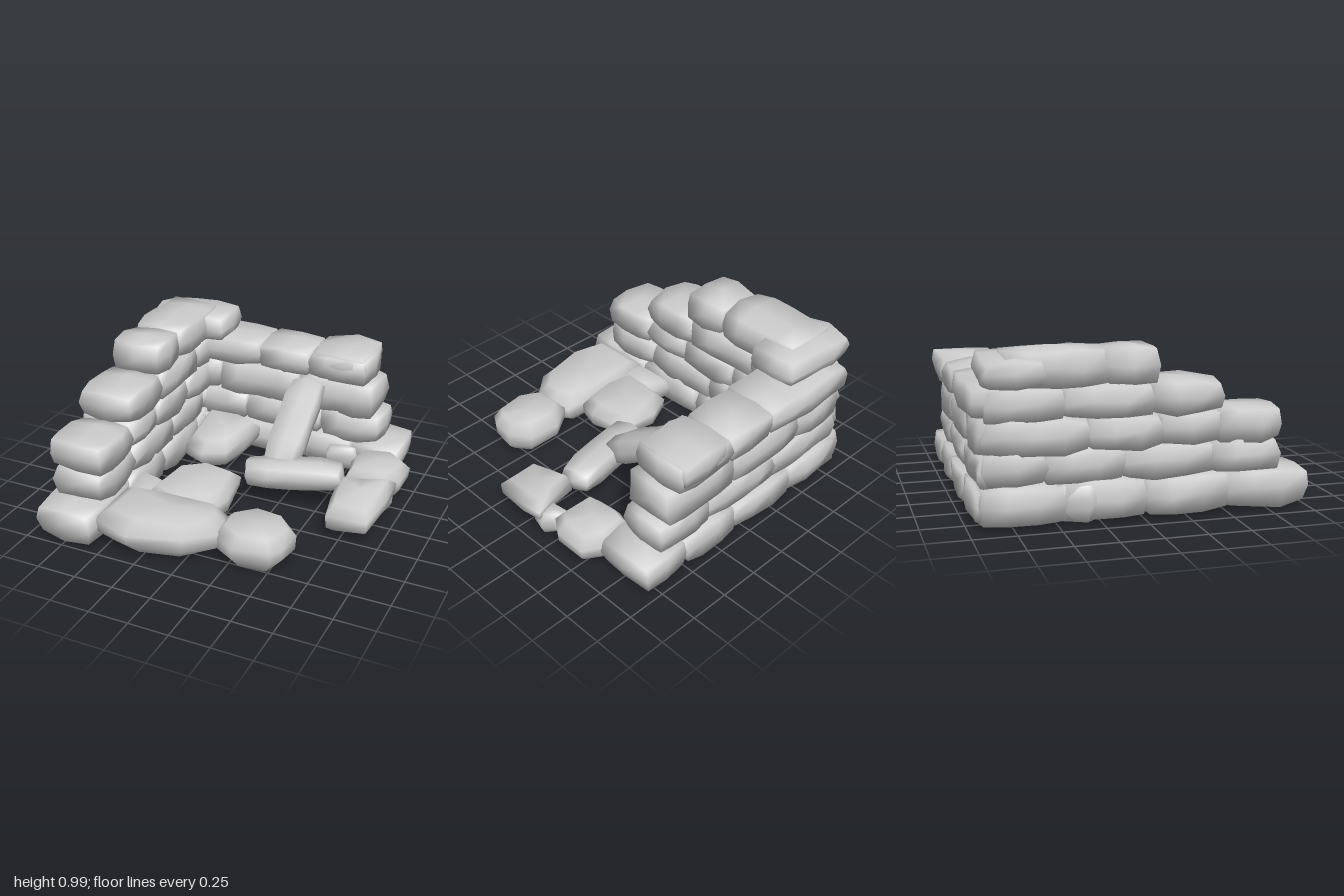
import * as THREE from 'three';
import { mergeVertices } from 'three/addons/utils/BufferGeometryUtils.js';

const material = new THREE.MeshStandardMaterial({ color: 0xcccccc, roughness: 0.9 });

let seed = 7;
function jitter(amount) {
  seed = (seed * 16807) % 2147483647;
  return (seed / 2147483647 - 0.5) * 2 * amount;
}

function addMesh(parent, name, geometry) {
  const mesh = new THREE.Mesh(geometry, material);
  mesh.name = name;
  parent.add(mesh);
  return mesh;
}

// Worn block of a given size, centred on the origin: edges and corners pulled in
function blockGeometry(w, h, d, rough = 0.012) {
  const seg = (s) => Math.min(4, Math.max(2, Math.round(s / 0.16)));
  let geo = new THREE.BoxGeometry(w, h, d, seg(w), seg(h), seg(d));
  geo.deleteAttribute('normal');
  geo.deleteAttribute('uv');
  geo = mergeVertices(geo);
  const p = geo.attributes.position;
  const half = [w / 2, h / 2, d / 2];
  for (let i = 0; i < p.count; i++) {
    const v = [p.getX(i), p.getY(i), p.getZ(i)];
    const outer = v.map((c, k) => Math.abs(c) > half[k] - 1e-4);
    const pull = [0, 0, 0.012, 0.026][outer.filter(Boolean).length];
    p.setXYZ(i, ...v.map((c, k) => c - (outer[k] ? Math.sign(c) * pull : 0) + jitter(rough)));
  }
  geo.computeVertexNormals();
  return geo;
}

// Block from its limits on each axis
function block(parent, name, [x0, x1], [y0, y1], [z0, z1]) {
  const mesh = addMesh(parent, name, blockGeometry(x1 - x0, y1 - y0, z1 - z0));
  mesh.position.set((x0 + x1) / 2, (y0 + y1) / 2, (z0 + z1) / 2);
}

// Squared beam between two points
function beam(parent, name, from, to, width, thickness) {
  const a = new THREE.Vector3(...from), b = new THREE.Vector3(...to);
  const mesh = addMesh(parent, name, blockGeometry(width, thickness, a.distanceTo(b), 0.006));
  mesh.position.copy(a).add(b).multiplyScalar(0.5);
  mesh.lookAt(b);
}

// Boulder from a plan outline of [x, z] points, rounded over at top and bottom
function boulder(parent, name, plan, y0, y1, tiltZ = 0) {
  if (THREE.ShapeUtils.area(plan.map(([x, z]) => new THREE.Vector2(x, z))) < 0) plan = plan.slice().reverse();
  const n = plan.length;
  const cx = plan.reduce((s, q) => s + q[0], 0) / n;
  const cz = plan.reduce((s, q) => s + q[1], 0) / n;
  const rings = [[0, 0], [0, 0.72], [0.3, 0.97], [0.65, 1], [0.96, 0.76], [1, 0]];
  const pos = [], index = [];
  for (const [t, s] of rings) {
    for (const [x, z] of plan) {
      const wob = s > 0 ? jitter(0.012) : 0;
      const px = cx + (x - cx) * s, pz = cz + (z - cz) * s;
      pos.push(px, y0 + (y1 - y0) * t + wob + (pz - cz) * tiltZ, pz);
    }
  }
  for (let r = 0; r < rings.length - 1; r++) {
    for (let i = 0; i < n; i++) {
      const a = r * n + i, b = r * n + (i + 1) % n;
      index.push(a, a + n, b, b, a + n, b + n);
    }
  }
  let geo = new THREE.BufferGeometry();
  geo.setAttribute('position', new THREE.Float32BufferAttribute(pos, 3));
  geo.setIndex(index);
  geo = mergeVertices(geo);
  geo.computeVertexNormals();
  addMesh(parent, name, geo);
}

export function createModel() {
  const model = new THREE.Group();
  model.name = 'ruinedStoneWalls';
  const group = (name) => {
    const g = new THREE.Group();
    g.name = name;
    model.add(g);
    return g;
  };

  // Side wall: courses stepping down towards the front; [y range, x range, z joints]
  const sideWall = group('sideWall');
  const sideCourses = [
    [[0.01, 0.25], [-0.94, -0.55], [-0.95, -0.45, 0.02, 0.5, 1.0]],
    [[0.22, 0.43], [-0.91, -0.55], [-0.92, -0.55, -0.1, 0.42, 0.83]],
    [[0.40, 0.61], [-0.92, -0.54], [-0.92, -0.3, 0.12, 0.45, 0.83]],
    [[0.58, 0.79], [-0.92, -0.54], [-0.92, -0.45, 0.06, 0.47]],
    [[0.76, 0.985], [-0.90, -0.54], [-0.80, -0.2, 0.10]],
  ];
  sideCourses.forEach(([y, x, joints], c) => {
    for (let i = 0; i < joints.length - 1; i++) {
      block(sideWall, `sideStone${c + 1}_${i + 1}`, x, y,
        [joints[i] - (i ? 0.025 : 0), joints[i + 1]]);
    }
  });
  block(sideWall, 'cornerCapStone', [-0.97, -0.42], [0.77, 0.95], [-0.91, -0.56]);

  // Back wall: courses stepping in towards the free end; [y range, z range, x joints]
  const backWall = group('backWall');
  const backCourses = [
    [[0.02, 0.23], [-0.97, -0.58], [-0.88, -0.4, 0.1, 0.52, 0.85]],
    [[0.20, 0.42], [-0.94, -0.60], [-0.87, -0.25, 0.3, 0.71]],
    [[0.39, 0.64], [-0.95, -0.60], [-0.87, -0.45, 0.12, 0.66]],
    [[0.61, 0.805], [-0.99, -0.60], [-0.88, -0.15, 0.2, 0.60]],
  ];
  backCourses.forEach(([y, z, joints], c) => {
    for (let i = 0; i < joints.length - 1; i++) {
      block(backWall, `backStone${c + 1}_${i + 1}`,
        [joints[i] - (i ? 0.025 : 0), joints[i + 1]], y, z);
    }
  });
  block(backWall, 'backCapStone', [0.2, 0.59], [0.64, 0.825], [-1.0, -0.61]);

  // Fallen beams: one leaning on the back wall, one lying across its foot
  const beams = group('fallenBeams');
  beam(beams, 'leaningBeam', [0.21, 0.23, -0.07], [0.21, 0.585, -0.62], 0.24, 0.17);
  beam(beams, 'lyingBeam', [0.02, 0.20, 0.02], [0.64, 0.23, -0.12], 0.22, 0.16);

  // Loose stones on the ground
  const rubble = group('rubble');
  boulder(rubble, 'frontLongStone', [[-0.58, 0.52], [-0.35, 0.49], [-0.1, 0.48], [0.13, 0.51],
    [0.2, 0.62], [0.18, 0.76], [0.02, 0.9], [-0.32, 0.97], [-0.58, 0.9]], 0.02, 0.25);
  boulder(rubble, 'frontEndStone', [[0.14, 0.53], [0.29, 0.43], [0.5, 0.45], [0.6, 0.56],
    [0.58, 0.72], [0.53, 0.8], [0.3, 0.83], [0.15, 0.74]], 0.02, 0.24);
  boulder(rubble, 'innerFrontStone', [[-0.41, 0.14], [-0.22, 0.05], [0.02, 0.08], [0.06, 0.35],
    [0.01, 0.5], [-0.25, 0.56], [-0.45, 0.5]], 0.04, 0.23, -0.08);
  boulder(rubble, 'innerJoiningStone', [[-0.6, 0.22], [-0.42, 0.29], [-0.35, 0.5], [-0.45, 0.62],
    [-0.6, 0.6]], 0.03, 0.19);
  boulder(rubble, 'innerBackStone', [[-0.56, -0.62], [-0.3, -0.64], [-0.14, -0.58], [-0.18, -0.42],
    [-0.23, -0.22], [-0.38, -0.15], [-0.53, -0.21]], 0.04, 0.24, -0.1);
  boulder(rubble, 'wallFootStone', [[0.32, -0.64], [0.6, -0.64], [0.56, -0.56], [0.38, -0.51]], 0.03, 0.18);
  boulder(rubble, 'outerBackStone', [[0.61, -0.58], [0.82, -0.61], [0.95, -0.54], [0.95, -0.33],
    [0.88, -0.23], [0.61, -0.23], [0.6, -0.36], [0.57, -0.46]], 0.02, 0.22);
  boulder(rubble, 'outerLinkStone', [[0.77, -0.28], [0.87, -0.25], [0.95, -0.18], [0.92, -0.08],
    [0.8, -0.08]], 0.03, 0.18);
  boulder(rubble, 'outerFrontStone', [[0.62, -0.09], [0.78, -0.12], [0.965, -0.19], [0.96, -0.02],
    [0.92, 0.24], [0.66, 0.25], [0.63, 0.08]], 0.06, 0.25, -0.2);
  boulder(rubble, 'sideBackStone', [[-0.95, -0.33], [-0.9, -0.56], [-0.8, -0.5], [-0.8, -0.25],
    [-0.9, -0.23]], 0.03, 0.24);
  return model;
}
